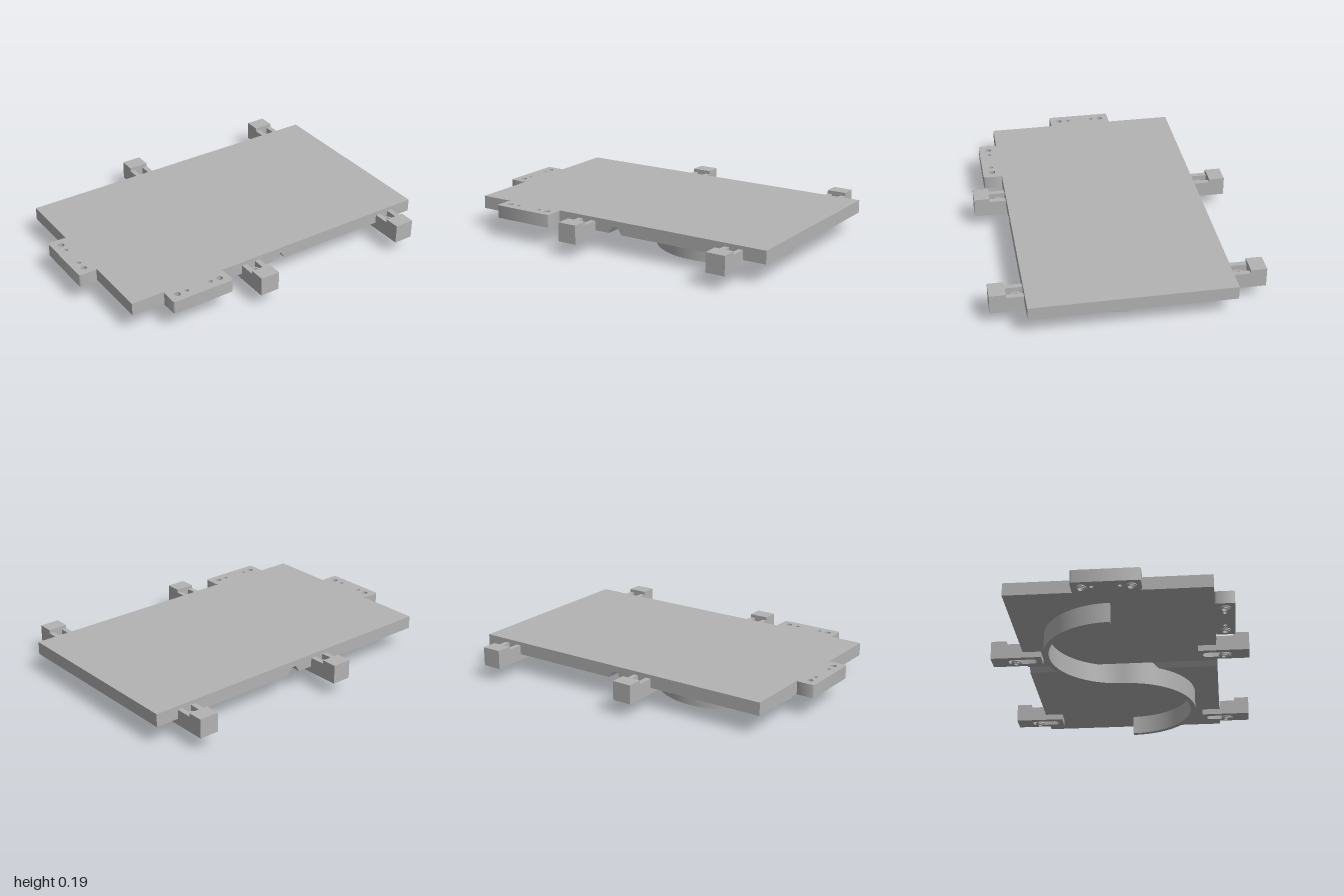
import * as THREE from 'three';
import { toCreasedNormals } from 'three/addons/utils/BufferGeometryUtils.js';

const grey = new THREE.MeshStandardMaterial({ color: 0xb3b3b3 });
grey.name = 'plain grey';

function part(name, geometry, x = 0, y = 0, z = 0) {
  const mesh = new THREE.Mesh(geometry, grey);
  mesh.name = name;
  mesh.position.set(x, y, z);
  return mesh;
}

// Horizontal slab: shape drawn in (x, -z), raised from y0 to y1
function slab(shape, y0, y1) {
  const g = new THREE.ExtrudeGeometry(shape, { depth: y1 - y0, bevelEnabled: false, curveSegments: 40 });
  g.rotateX(-Math.PI / 2).translate(0, y0, 0);
  return toCreasedNormals(g, 0.5);
}

function box(x0, x1, y0, y1, z0, z1) {
  return new THREE.BoxGeometry(x1 - x0, y1 - y0, z1 - z0)
    .translate((x0 + x1) / 2, (y0 + y1) / 2, (z0 + z1) / 2);
}

function roundedRect(w, h, r) {
  const s = new THREE.Shape(), a = w / 2, b = h / 2;
  s.absarc(a - r, b - r, r, 0, Math.PI / 2);
  s.absarc(-a + r, b - r, r, Math.PI / 2, Math.PI);
  s.absarc(-a + r, -b + r, r, Math.PI, Math.PI * 1.5);
  s.absarc(a - r, -b + r, r, Math.PI * 1.5, Math.PI * 2);
  s.closePath();
  return s;
}

// Hollow fastener whose stepped foot starts at y = 0
function bolt(name, bore, shank, height, x, y, z) {
  const points = [[bore, 0], [0.022, 0], [0.022, 0.006], [0.03, 0.006], [0.03, 0.014],
    [shank, 0.014], [shank, height], [bore, height], [bore, 0]].map(p => new THREE.Vector2(...p));
  return part(name, toCreasedNormals(new THREE.LatheGeometry(points, 24), 0.5), x, y, z);
}

// Main plate with a trapezoid groove along its underside
function plate() {
  const s = new THREE.Shape([[-0.89, 0.115], [0.01, 0.115], [0.035, 0.155], [0.07, 0.155], [0.095, 0.115],
    [1, 0.115], [1, 0.19], [-0.89, 0.19]].map(p => new THREE.Vector2(...p)));
  const g = new THREE.ExtrudeGeometry(s, { depth: 1.125, bevelEnabled: false });
  return part('plate', g, 0, 0, -0.565);
}

// Upright S-shaped wall made of two half rings
function curvedWall() {
  const cx = 0.0525, R = 0.399, inner = R - 0.0145, outer = R + 0.0145;
  const s = new THREE.Shape();
  s.moveTo(cx + R + outer, 0);
  s.absarc(cx + R, 0, outer, 0, -Math.PI, true);
  s.absarc(cx - R, 0, inner, 0, Math.PI, false);
  s.lineTo(cx - R - outer, 0);
  s.absarc(cx - R, 0, outer, Math.PI, 0, true);
  s.absarc(cx + R, 0, inner, -Math.PI, 0, false);
  s.closePath();
  return part('curvedWall', slab(s, 0, 0.16));
}

// Slotted clamp, built with its outer end towards +z
function clamp() {
  const g = new THREE.Group();
  g.name = 'clamp';
  const s = new THREE.Shape([[-0.0575, -0.75], [0.0575, -0.75], [0.0575, -0.455], [-0.0575, -0.455]]
    .map(p => new THREE.Vector2(...p)));
  const slot = new THREE.Path();
  slot.absarc(0, -0.51, 0.028, 0, Math.PI);
  slot.absarc(0, -0.625, 0.028, Math.PI, Math.PI * 2);
  slot.closePath();
  s.holes.push(slot);
  g.add(part('clampBase', slab(s, 0.08, 0.115)));
  g.add(part('clampPost', box(-0.0575, 0.0575, 0.115, 0.19, 0.66, 0.75)));
  for (const side of [-1, 1]) {
    g.add(part('clampRail', box(-0.015, 0.015, 0.115, 0.17, 0.565, 0.66), side * 0.0425));
  }
  g.add(bolt('clampBolt', 0.014, 0.025, 0.08, 0, 0.066, 0.605));
  return g;
}

// Mounting tab with two large and two small through holes
function tab() {
  const g = new THREE.Group();
  g.name = 'mountingTab';
  const s = roundedRect(0.375, 0.11, 0.014);
  for (const [x, r] of [[-0.133, 0.018], [-0.075, 0.012], [0.075, 0.012], [0.133, 0.018]]) {
    const hole = new THREE.Path();
    hole.absarc(x, 0, r, 0, Math.PI * 2, true);
    s.holes.push(hole);
  }
  g.add(part('tabBody', slab(s, 0.115, 0.19)));
  for (const x of [-0.133, 0.133]) g.add(bolt('tabBolt', 0.017, 0.024, 0.016, x, 0.103, 0));
  return g;
}

export function createModel() {
  const model = new THREE.Group();
  model.name = 'slidingPlate';
  model.add(plate(), curvedWall());

  // Four clamps, two along each long edge
  for (const x of [-0.1375, 0.8075]) {
    for (const back of [0, 1]) {
      const c = clamp();
      c.position.set(x, 0, -0.003);
      c.rotation.y = back * Math.PI;
      model.add(c);
    }
  }

  // Tabs on the front edge and the right-hand end
  const frontTab = tab();
  frontTab.position.set(-0.5125, 0, 0.615);
  const endTab = tab();
  endTab.position.set(-0.945, 0, -0.003);
  endTab.rotation.y = Math.PI / 2;
  model.add(frontTab, endTab);
  return model;
}
